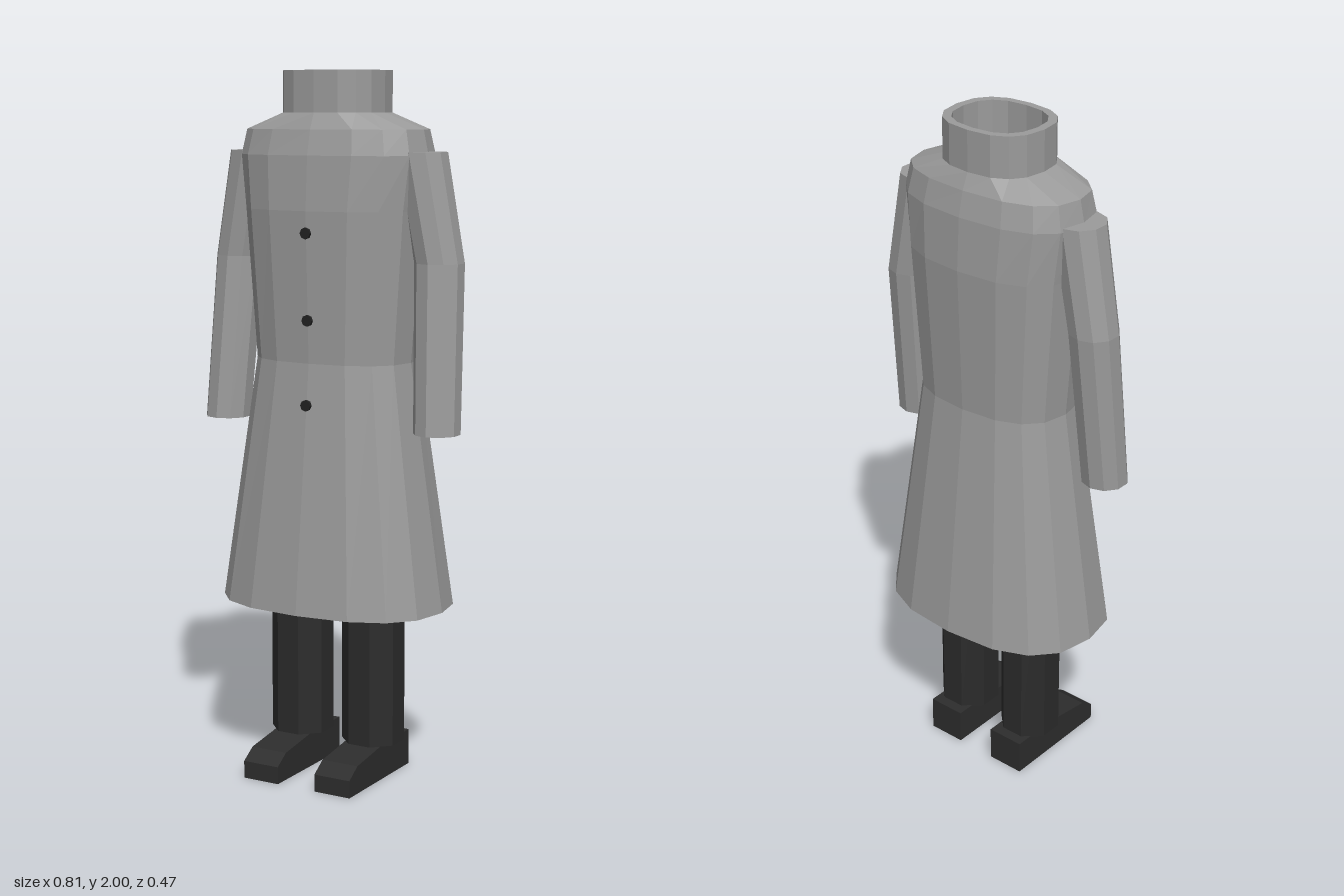
import * as THREE from 'three';

const mat = (name, color, side = THREE.FrontSide) => {
  const m = new THREE.MeshStandardMaterial({ color, flatShading: true, side });
  m.name = name;
  return m;
};

// Skin a sequence of horizontal rings [y, rx, rz, cx, cz]; bend < 1 squares off the ellipse
function loft(rings, sides, bend = 1, closed = false) {
  const point = ([y, rx, rz, cx = 0, cz = 0], j) => {
    const a = (j % sides) / sides * Math.PI * 2;
    const f = (v) => Math.sign(v) * Math.pow(Math.abs(v), bend);
    return [cx + rx * f(Math.sin(a)), y, cz + rz * f(Math.cos(a))];
  };
  const pos = [];
  const last = closed ? rings.length : rings.length - 1;
  for (let i = 0; i < last; i++) {
    const lo = rings[i], hi = rings[(i + 1) % rings.length];
    for (let j = 0; j < sides; j++) {
      const a = point(lo, j), b = point(lo, j + 1), c = point(hi, j + 1), d = point(hi, j);
      if (lo[1] > 0) pos.push(...a, ...b, ...c);
      if (hi[1] > 0) pos.push(...a, ...c, ...d);
    }
  }
  const g = new THREE.BufferGeometry();
  g.setAttribute('position', new THREE.Float32BufferAttribute(pos, 3));
  g.computeVertexNormals();
  return g;
}

export function createModel() {
  const model = new THREE.Group();
  model.name = 'coatFigure';
  const coatGrey = mat('coat grey', 0x9b9b9b);
  const trouserBlack = mat('trouser charcoal', 0x2b2b2b);
  const shoeBlack = mat('shoe charcoal', 0x2d2d2d);
  const buttonBlack = mat('button black', 0x222222);

  const add = (name, geometry, material, parent = model) => {
    const mesh = new THREE.Mesh(geometry, material);
    mesh.name = name;
    parent.add(mesh);
    return mesh;
  };

  // Hollow coat: outer wall up, over the collar rim, inner wall down
  const outer = [
    [0.5, 0.338, 0.235], [1.2, 0.235, 0.16], [1.62, 0.267, 0.175], [1.77, 0.285, 0.166],
    [1.84, 0.27, 0.15], [1.885, 0.15, 0.13], [2.0, 0.15, 0.13],
  ];
  const inner = outer.map(([y, rx, rz]) => [
    y > 1.7 && y < 1.9 ? y - 0.015 : y, rx - 0.024, rz - 0.021,
  ]).reverse();
  add('coat', loft([...outer, ...inner], 16, 0.8, true), coatGrey);

  // Front buttons
  for (const [y, z] of [[1.56, 0.173], [1.32, 0.165], [1.085, 0.173]]) {
    const button = add('button', new THREE.CylinderGeometry(0.016, 0.016, 0.014, 8), buttonBlack);
    button.rotation.x = Math.PI / 2;
    button.position.set(0, y, z);
  }

  // Shoe side profile, drawn with the toe along +x
  const profile = new THREE.Shape([
    [-0.115, 0], [0.235, 0], [0.235, 0.05], [0.19, 0.08], [0.085, 0.095], [0.035, 0.103], [-0.115, 0.103],
  ].map(([x, y]) => new THREE.Vector2(x, y)));

  for (const side of [1, -1]) {
    const label = side > 0 ? 'left' : 'right';

    // Sleeve: inside top, down to the open cuff, back up the outside, capped
    const path = [[1.015, 0.34, 0.045, 0.066], [1.48, 0.322, 0.002, 0.07], [1.78, 0.265, 0.005, 0.074]];
    const skin = (inset) => path.map(([y, x, z, r]) => [y, r - inset, r - inset, side * x, z]);
    const inside = skin(0.011).reverse();
    inside[0][0] -= 0.011;
    const outside = skin(0);
    const tip = ([y, , , x, z]) => [y, 0, 0, x, z];
    add(label + 'Sleeve', loft([tip(inside[0]), ...inside, ...outside, tip(outside[2])], 10), coatGrey);

    // Trouser leg
    const leg = add(label + 'TrouserLeg',
      new THREE.CylinderGeometry(0.09, 0.09, 0.85, 8, 1, false, Math.PI / 8), trouserBlack);
    leg.position.set(side * 0.118, 0.525, 0);

    // Shoe
    const shoe = add(label + 'Shoe',
      new THREE.ExtrudeGeometry(profile, { depth: 0.113, bevelEnabled: false }), shoeBlack);
    shoe.geometry.translate(0, 0, -0.0565);
    shoe.rotation.y = -Math.PI / 2;
    shoe.position.x = side * 0.117;
  }
  return model;
}
